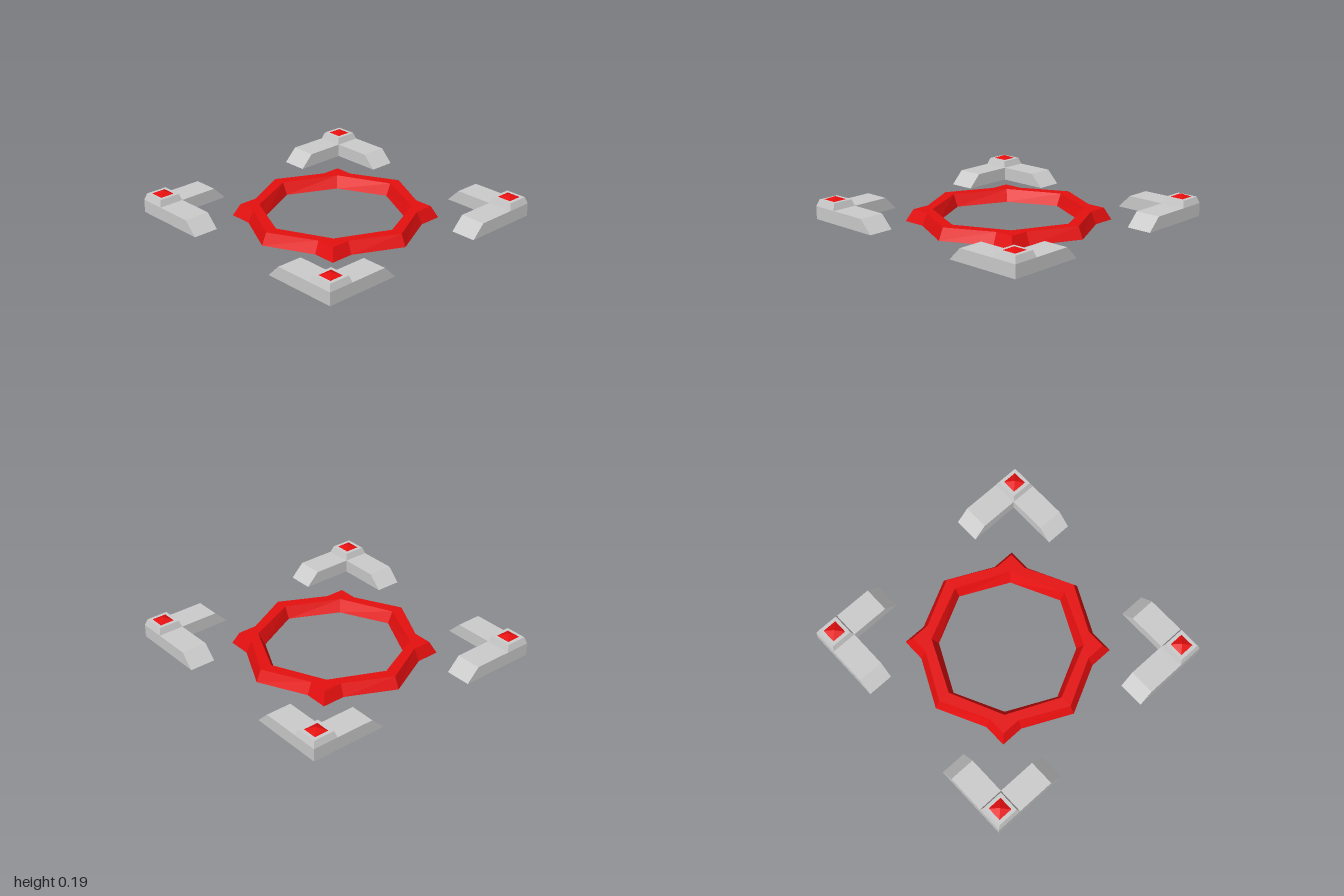
import * as THREE from 'three';

const grey = new THREE.MeshStandardMaterial({ color: 0xcccccc, flatShading: true });
const red = new THREE.MeshStandardMaterial({ color: 0xe60f0f, flatShading: true });
const redShell = new THREE.MeshStandardMaterial({ color: 0xe60f0f, flatShading: true, side: THREE.DoubleSide });

function addMesh(parent, name, geometry, material) {
  const mesh = new THREE.Mesh(geometry, material);
  mesh.name = name;
  parent.add(mesh);
  return mesh;
}

// Beam along x with a sloped inner end, 0.2 wide (z 0.8 to 1)
function beamGeometry(outerEnd) {
  const shape = new THREE.Shape();
  shape.moveTo(0.4, 0.02);
  shape.lineTo(outerEnd, 0.02);
  shape.lineTo(outerEnd, 0.12);
  shape.lineTo(0.5, 0.12);
  return new THREE.ExtrudeGeometry(shape, { depth: 0.2, bevelEnabled: false }).translate(0, 0, 0.8);
}

// Square frustum given by half widths
function frustum(top, bottom, y0, y1) {
  return new THREE.CylinderGeometry(top * Math.SQRT2, bottom * Math.SQRT2, y1 - y0, 4)
    .rotateY(Math.PI / 4).translate(0.9, (y0 + y1) / 2, 0.9);
}

function createCorner() {
  const corner = new THREE.Group();
  addMesh(corner, 'longBeam', beamGeometry(1), grey);
  addMesh(corner, 'sideBeam', beamGeometry(0.8).rotateY(-Math.PI / 2).translate(1.8, 0, 0), grey);
  addMesh(corner, 'cornerCap', frustum(0.083, 0.1, 0.12, 0.17), grey);
  addMesh(corner, 'cornerGem', frustum(0, 0.056, 0.171, 0.195), red);
  return corner;
}

// Repeat one quarter outline four times at a given height
function outline(quarter, y) {
  const points = [];
  for (let q = 0; q < 4; q++) {
    for (let [x, z] of quarter) {
      for (let k = 0; k < q; k++) [x, z] = [z, -x];
      points.push(new THREE.Vector3(x, y, z));
    }
  }
  return points;
}

// Channel ring, open underneath: outer wall, top, inner wall
function ringGeometry() {
  const rows = [
    outline([[0, 0.715], [0.36, 0.538], [0.538, 0.538], [0.538, 0.36]], 0),
    outline([[0, 0.675], [0.35, 0.497], [0.497, 0.497], [0.497, 0.35]], 0.09),
    outline([[0, 0.582], [0.398, 0.398], [0.398, 0.398], [0.398, 0.398]], 0.09),
    outline([[0, 0.54], [0.362, 0.362], [0.362, 0.362], [0.362, 0.362]], 0),
  ];
  const points = [];
  const triangle = (a, b, c) => {
    if (new THREE.Triangle(a, b, c).getArea() > 1e-6) points.push(a, b, c);
  };
  for (let j = 0; j < rows.length - 1; j++) {
    const n = rows[j].length;
    for (let i = 0; i < n; i++) {
      const next = (i + 1) % n;
      const a = rows[j][i], b = rows[j][next];
      const c = rows[j + 1][next], d = rows[j + 1][i];
      triangle(a, b, c);
      triangle(a, c, d);
    }
  }
  const geometry = new THREE.BufferGeometry().setFromPoints(points);
  geometry.computeVertexNormals();
  return geometry;
}

export function createModel() {
  const model = new THREE.Group();
  model.name = 'ringPlatform';
  addMesh(model, 'centreRing', ringGeometry(), redShell);

  // Four corner brackets, mirrored so the long beams all run along x
  const names = ['frontLeftCorner', 'backLeftCorner', 'backRightCorner', 'frontRightCorner'];
  names.forEach((name, i) => {
    const corner = createCorner();
    corner.name = name;
    corner.rotation.y = i * Math.PI / 2;
    model.add(corner);
  });
  return model;
}
